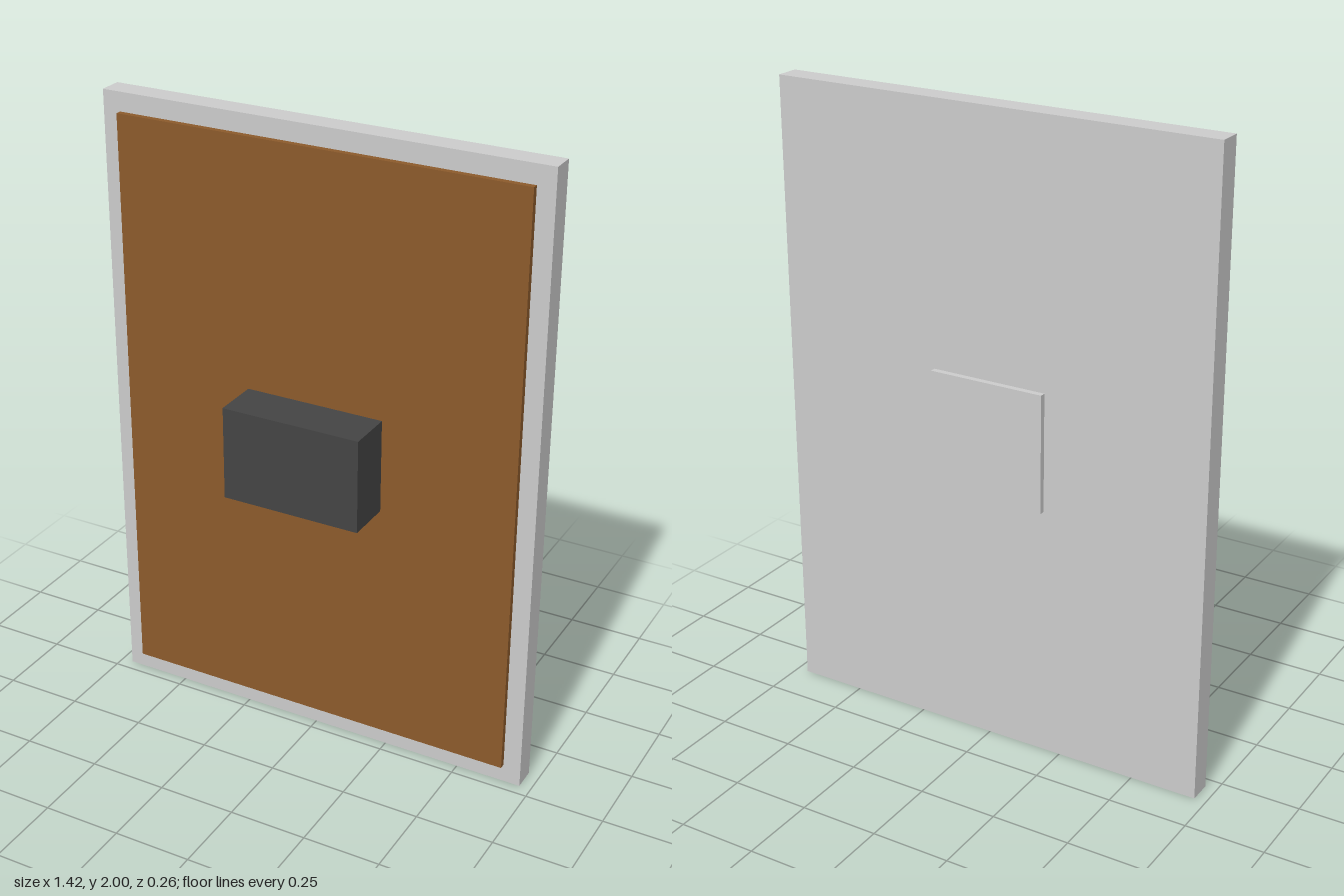
import * as THREE from 'three';

const grey = new THREE.MeshStandardMaterial({ color: 0xcccccc });
const wood = new THREE.MeshStandardMaterial({ color: 0x8b5a2b });
const dark = new THREE.MeshStandardMaterial({ color: 0x444444 });

// Box centred on x = 0 and y = 1, spanning zBack to zFront
function slab(name, width, height, zBack, zFront, material) {
  const mesh = new THREE.Mesh(new THREE.BoxGeometry(width, height, zFront - zBack), material);
  mesh.name = name;
  mesh.position.set(0, 1, (zBack + zFront) / 2);
  return mesh;
}

export function createModel() {
  const group = new THREE.Group();
  group.name = 'wallPanel';
  group.add(
    // Thin plate on the rear face
    slab('rearPlate', 0.375, 0.375, -0.131, -0.1125, grey),
    // Main board, visible as a border around the front panel
    slab('backBoard', 1.425, 2, -0.1125, -0.0375, grey),
    // Brown front panel
    slab('frontPanel', 1.3125, 1.88, -0.0375, -0.019, wood),
    // Dark block projecting from the middle of the panel
    slab('centreBlock', 0.45, 0.3, -0.019, 0.131, dark),
  );
  return group;
}
